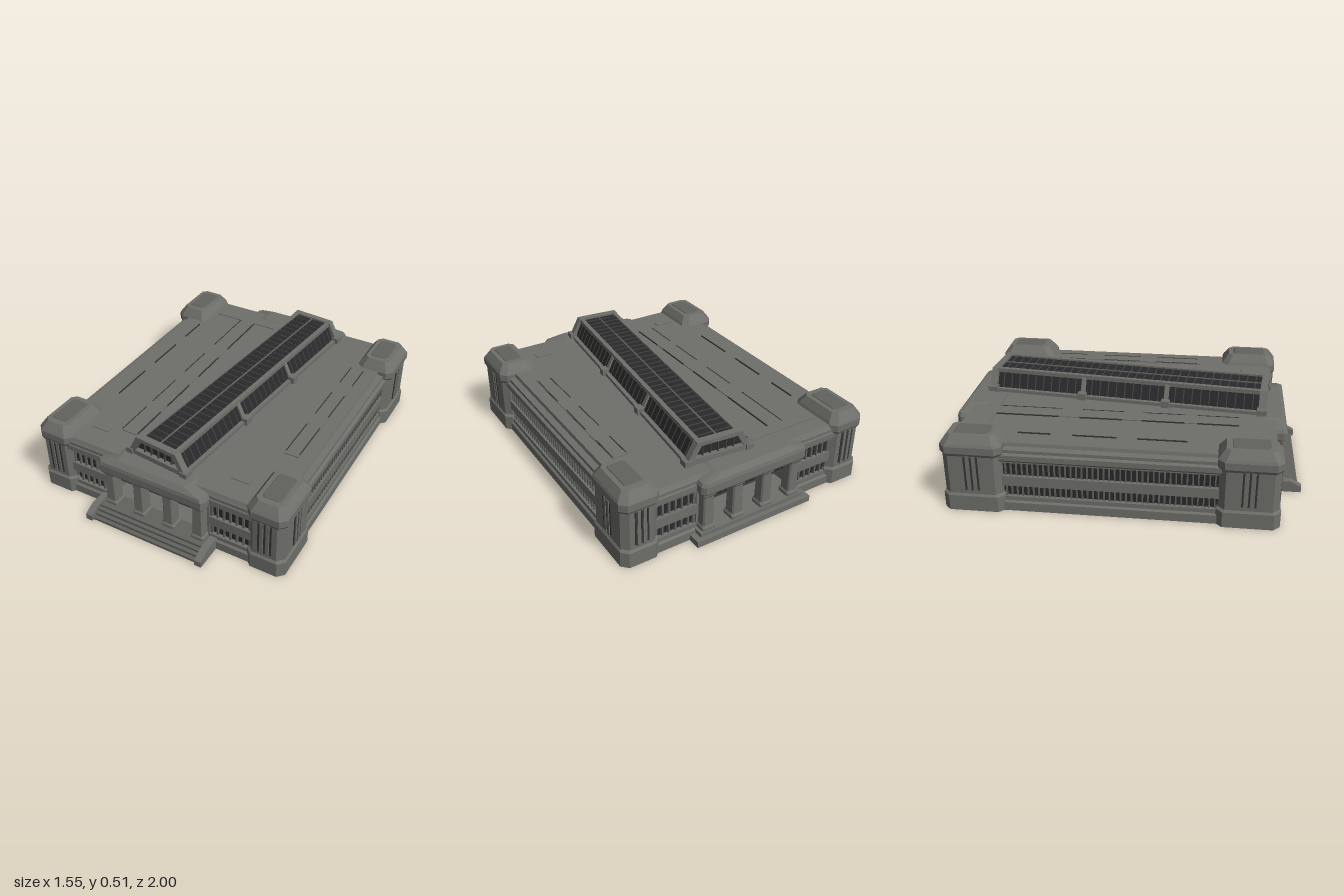
import * as THREE from 'three';
import { mergeGeometries } from 'three/addons/utils/BufferGeometryUtils.js';

const paint = (name, color) => {
  const m = new THREE.MeshStandardMaterial({ color });
  m.name = name;
  return m;
};

// Solid with corner-cut rectangular rings: [halfX, halfZ, cornerCut, y]
function loft(rings) {
  const loops = rings.map(([w, d, c, y]) => [
    [w, d - c], [w - c, d], [c - w, d], [-w, d - c],
    [-w, c - d], [c - w, -d], [w - c, -d], [w, c - d],
  ].map(([x, z]) => [x, y, z]));
  // start at the +x side so the loop runs from x towards z
  const pos = [];
  const tri = (...p) => p.forEach((v) => pos.push(...v));
  for (let k = 0; k + 1 < loops.length; k++) {
    const a = loops[k], b = loops[k + 1];
    for (let i = 0; i < 8; i++) {
      const j = (i + 1) % 8;
      tri(a[i], b[i], a[j]);
      tri(a[j], b[i], b[j]);
    }
  }
  const lo = loops[0], hi = loops[loops.length - 1];
  for (let i = 1; i < 7; i++) {
    tri(lo[0], lo[i], lo[i + 1]);
    tri(hi[0], hi[i + 1], hi[i]);
  }
  const g = new THREE.BufferGeometry();
  g.setAttribute('position', new THREE.Float32BufferAttribute(pos, 3));
  g.computeVertexNormals();
  return g;
}

// Box from its lower and upper limits
function span(x0, x1, y0, y1, z0, z1) {
  return new THREE.BoxGeometry(x1 - x0, y1 - y0, z1 - z0)
    .translate((x0 + x1) / 2, (y0 + y1) / 2, (z0 + z1) / 2);
}

export function createModel() {
  const stone = paint('stone', 0x6e6e6a);
  const trim = paint('trim', 0x62625e);
  const glass = paint('dark glass', 0x29292b);
  const bar = paint('glazing bar', 0x424240);
  const line = paint('groove', 0x353533);

  const model = new THREE.Group();
  model.name = 'building';
  const hall = new THREE.Group();
  hall.name = 'hall';
  hall.position.z = -0.04;
  model.add(hall);

  const add = (parent, name, geo, mat, x = 0, y = 0, z = 0) => {
    const m = new THREE.Mesh(geo, mat);
    m.name = name;
    m.position.set(x, y, z);
    parent.add(m);
    return m;
  };

  // Floor and roof slab with sloping side eaves
  add(hall, 'floor', loft([[0.745, 0.885, 0.01, 0], [0.745, 0.885, 0.01, 0.05], [0.735, 0.875, 0.01, 0.058]]), stone);
  add(hall, 'roof', loft([
    [0.735, 0.875, 0.01, 0.295], [0.742, 0.885, 0.01, 0.305], [0.742, 0.885, 0.01, 0.335],
    [0.725, 0.88, 0.01, 0.342], [0.725, 0.88, 0.01, 0.36], [0.69, 0.875, 0.01, 0.366],
    [0.685, 0.865, 0.01, 0.385],
  ]), stone);

  // Wings: recessed glass between stone bands, closed towards the passage
  const rows = [[0.082, 0.147], [0.205, 0.287]];
  for (const s of [-1, 1]) {
    const wing = new THREE.Group();
    wing.name = s > 0 ? 'leftWing' : 'rightWing';
    hall.add(wing);
    const box = (a, b, ...r) => span(Math.min(s * a, s * b), Math.max(s * a, s * b), ...r);
    add(wing, 'windowGlass', box(0.325, 0.71, 0.05, 0.3, -0.85, 0.85), glass);
    add(wing, 'passageWall', box(0.31, 0.325, 0.05, 0.3, -0.87, 0.87), stone);
    const bands = [[0.05, rows[0][0]], [rows[0][1], rows[1][0]], [rows[1][1], 0.3]]
      .map(([y0, y1]) => box(0.322, 0.733, y0, y1, -0.873, 0.873));
    add(wing, 'wallBands', mergeGeometries(bands), stone);

    const mullions = [];
    for (const [y0, y1] of rows) {
      for (let i = 0; i <= 38; i++) {
        const z = -0.56 + i * 1.12 / 38;
        mullions.push(box(0.705, 0.722, y0, y1, z - 0.004, z + 0.004));
      }
      for (const e of [-1, 1]) {
        for (let i = 0; i <= 6; i++) {
          const x = 0.33 + i * 0.038, w = i === 0 ? 0.01 : 0.005;
          mullions.push(box(x - w, x + w, y0, y1, e * 0.852 - 0.011, e * 0.852 + 0.011));
        }
      }
    }
    add(wing, 'mullions', mergeGeometries(mullions), trim);
  }

  // Corner towers with wide feet, sloped caps and upright slits
  for (const s of [-1, 1]) for (const e of [-1, 1]) {
    const tower = new THREE.Group();
    tower.name = 'cornerTower';
    tower.position.set(s * 0.66, 0, e * 0.735);
    hall.add(tower);
    add(tower, 'towerShaft', loft([
      [0.112, 0.17, 0.035, 0], [0.112, 0.17, 0.035, 0.09], [0.103, 0.16, 0.035, 0.102],
      [0.103, 0.16, 0.035, 0.335],
    ]), stone);
    add(tower, 'towerCap', loft([
      [0.105, 0.162, 0.035, 0.328], [0.114, 0.169, 0.035, 0.345], [0.114, 0.169, 0.035, 0.385],
      [0.107, 0.16, 0.035, 0.4], [0.078, 0.13, 0.025, 0.442],
    ]), stone);
    add(tower, 'capPanel', loft([[0.055, 0.1, 0.012, 0.44], [0.05, 0.095, 0.012, 0.447]]), trim);
    const slits = [], ribs = [];
    for (let i = -1; i <= 1; i++) {
      const t = i * 0.034;
      slits.push(span(t - 0.005, t + 0.005, 0.125, 0.325, e * 0.161 - 0.003, e * 0.161 + 0.003));
      slits.push(span(s * 0.104 - 0.003, s * 0.104 + 0.003, 0.125, 0.325, t - 0.005, t + 0.005));
    }
    for (const t of [-0.017, 0.017]) {
      ribs.push(span(t - 0.009, t + 0.009, 0.115, 0.33, e * 0.161 - 0.006, e * 0.161 + 0.006));
      ribs.push(span(s * 0.104 - 0.006, s * 0.104 + 0.006, 0.115, 0.33, t - 0.009, t + 0.009));
    }
    add(tower, 'slits', mergeGeometries(slits), line);
    add(tower, 'slitRibs', mergeGeometries(ribs), stone);
  }

  // Porticoes at both ends: beam, columns and glazing above the open doorways
  for (const e of [-1, 1]) {
    const portico = new THREE.Group();
    portico.name = e > 0 ? 'frontPortico' : 'backPortico';
    hall.add(portico);
    add(portico, 'beam', loft([
      [0.325, 0.085, 0.02, 0.293], [0.335, 0.09, 0.02, 0.303], [0.335, 0.09, 0.02, 0.345],
      [0.325, 0.085, 0.02, 0.365], [0.22, 0.06, 0.02, 0.39],
    ]), stone, 0, 0, e * 0.853);
    for (const x of [-0.278, -0.094, 0.094, 0.278]) {
      add(portico, 'column', loft([
        [0.04, 0.042, 0.008, 0.04], [0.04, 0.042, 0.008, 0.075], [0.033, 0.035, 0.008, 0.085],
        [0.031, 0.033, 0.008, 0.262], [0.039, 0.042, 0.008, 0.275], [0.039, 0.042, 0.008, 0.296],
      ]), stone, x, 0, e * 0.885);
    }
    add(portico, 'transomGlass', span(-0.31, 0.31, 0.165, 0.297, e * 0.82 - 0.004, e * 0.82 + 0.004), glass);
    const bars = [span(-0.31, 0.31, 0.16, 0.168, e * 0.82 - 0.008, e * 0.82 + 0.008)];
    for (let i = -7; i <= 7; i++) {
      bars.push(span(i * 0.042 - 0.003, i * 0.042 + 0.003, 0.165, 0.296, e * 0.82 - 0.007, e * 0.82 + 0.007));
    }
    add(portico, 'transomBars', mergeGeometries(bars), bar);
  }

  // Front steps with cheek walls, and the plain rear landing
  const steps = [];
  for (let i = 0; i < 4; i++) steps.push(span(-0.335, 0.335, 0, 0.015 * (i + 1), 0.8, 0.985 - i * 0.022));
  add(model, 'frontSteps', mergeGeometries(steps), trim);
  const cheek = new THREE.Shape([[0.8, 0], [1, 0], [1, 0.035], [0.94, 0.065], [0.8, 0.068]]
    .map(([z, y]) => new THREE.Vector2(-z, y)));
  for (const s of [-1, 1]) {
    const g = new THREE.ExtrudeGeometry(cheek, { depth: 0.04, bevelEnabled: false })
      .translate(0, 0, -0.02).rotateY(Math.PI / 2);
    add(model, 'stepCheek', g, stone, s * 0.35);
  }
  add(model, 'rearLanding', mergeGeometries([
    span(-0.37, 0.37, 0, 0.035, -1, -0.9), span(-0.335, 0.335, 0.03, 0.058, -0.975, -0.9),
  ]), stone);

  // Roof panels and broken groove lines
  const panels = [[-0.53, -0.09, -0.81, -0.745], [-0.35, -0.25, -0.75, 0.64], [0.525, 0.615, -0.57, 0.38],
    [-0.515, -0.405, 0.645, 0.695], [0.375, 0.485, 0.645, 0.695]];
  add(model, 'roofPanels', mergeGeometries(panels.map(([a, b, c, d]) => span(a, b, 0.38, 0.39, c, d))), stone);
  const dashes = [];
  const dash = (x, z0, z1) => dashes.push(span(x - 0.003, x + 0.003, 0.384, 0.3915, z0, z1));
  for (const x of [-0.35, -0.25]) {
    [[-0.74, -0.38], [-0.26, -0.02], [0.09, 0.33], [0.4, 0.63]].forEach(([a, b]) => dash(x, a, b));
  }
  for (const x of [-0.57, 0.53, 0.61]) {
    [[-0.56, -0.38], [-0.26, -0.02], [0.09, 0.36]].forEach(([a, b]) => dash(x, a, b));
  }
  add(model, 'roofGrooves', mergeGeometries(dashes), line);

  // Long skylight lying slightly askew on the roof
  const sky = new THREE.Group();
  sky.name = 'skylight';
  sky.position.set(0.065, 0, -0.025);
  sky.rotation.y = -0.097;
  model.add(sky);
  add(sky, 'skylightGlass', loft([[0.172, 0.8, 0.002, 0.38], [0.116, 0.79, 0.002, 0.502]]), glass);
  const hoops = [];
  for (let i = 1; i < 32; i++) {
    hoops.push(loft([[0.176, 0.003, 0.001, 0.38], [0.119, 0.003, 0.001, 0.505]]).translate(0, 0, -0.8 + i * 0.05));
  }
  add(sky, 'skylightBars', mergeGeometries(hoops), bar);
  add(sky, 'ridgeStrip', span(-0.004, 0.004, 0.5, 0.507, -0.79, 0.79), trim);
  for (const s of [-1, 1]) {
    add(sky, 'topBeam', span(-0.013, 0.013, 0.488, 0.512, -0.81, 0.81), stone, s * 0.115);
    add(sky, 'curb', span(-0.012, 0.012, 0.38, 0.405, -0.81, 0.81), stone, s * 0.175);
  }
  for (const z of [-0.25, 0.25]) {
    add(sky, 'middleRib', loft([[0.187, 0.014, 0.002, 0.38], [0.128, 0.014, 0.002, 0.5]]), stone, 0, 0, z);
    for (const s of [-1, 1]) add(sky, 'ribFoot', span(-0.02, 0.02, 0.38, 0.425, -0.024, 0.024), stone, s * 0.185, 0, z);
  }
  const v = (list) => list.map(([x, y]) => new THREE.Vector2(x, y));
  const frame = new THREE.Shape(v([[-0.195, 0.38], [0.195, 0.38], [0.185, 0.41], [0.13, 0.514], [-0.13, 0.514], [-0.185, 0.41]]));
  frame.holes.push(new THREE.Path(v([[-0.145, 0.42], [-0.105, 0.49], [0.105, 0.49], [0.145, 0.42]])));
  const frameGeo = new THREE.ExtrudeGeometry(frame, { depth: 0.04, bevelEnabled: false }).translate(0, 0, -0.02);
  for (const e of [-1, 1]) {
    add(sky, 'endFrame', frameGeo, stone, 0, 0, e * 0.805);
    const bars = [];
    for (let i = -2; i <= 2; i++) bars.push(span(i * 0.045 - 0.003, i * 0.045 + 0.003, 0.415, 0.495, -0.006, 0.006));
    add(sky, 'endBars', mergeGeometries(bars), bar, 0, 0, e * 0.805);
    for (const s of [-1, 1]) add(sky, 'endFoot', span(-0.022, 0.022, 0.38, 0.42, -0.028, 0.028), stone, s * 0.18, 0, e * 0.805);
  }

  return model;
}
